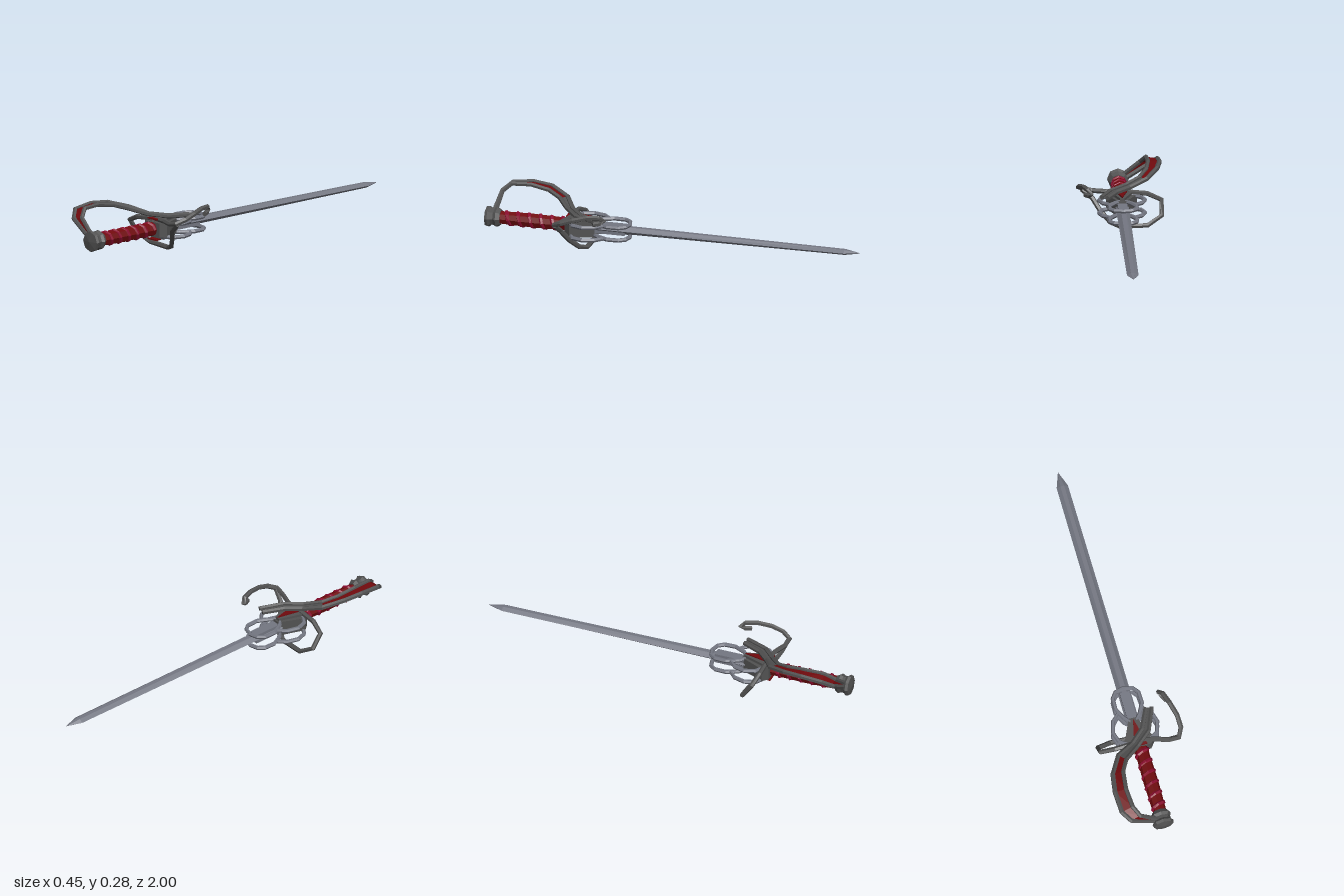
import * as THREE from 'three';

const mat = (name, color) => {
  const m = new THREE.MeshStandardMaterial({ color, flatShading: true, side: THREE.DoubleSide });
  m.name = name;
  return m;
};
const V = (p) => new THREE.Vector3(...p);
const AX = -0.008, AY = 0.125; // sword axis

// Skin a list of equal-length rings, with capped ends unless closed
function loft(rings, closed = false) {
  const pos = [], n = rings[0].length;
  const tri = (...ps) => ps.forEach((p) => pos.push(p.x, p.y, p.z));
  const last = closed ? rings.length : rings.length - 1;
  for (let i = 0; i < last; i++) {
    const r = rings[i], s = rings[(i + 1) % rings.length];
    for (let j = 0; j < n; j++) {
      const k = (j + 1) % n;
      tri(r[j], r[k], s[j]);
      tri(r[k], s[k], s[j]);
    }
  }
  if (!closed) {
    const a = rings[0], b = rings[rings.length - 1];
    for (let j = 1; j < n - 1; j++) {
      tri(a[0], a[j + 1], a[j]);
      tri(b[0], b[j], b[j + 1]);
    }
  }
  const g = new THREE.BufferGeometry();
  g.setAttribute('position', new THREE.Float32BufferAttribute(pos, 3));
  g.computeVertexNormals();
  return g;
}

// Faceted bar following a list of points
function bar(points, radius, { closed = false, sides = 6, up = [0, 1, 0] } = {}) {
  const ps = points.map(V), N = ps.length;
  let normal = V(up);
  const rings = ps.map((p, i) => {
    const prev = ps[closed ? (i + N - 1) % N : Math.max(i - 1, 0)];
    const next = ps[closed ? (i + 1) % N : Math.min(i + 1, N - 1)];
    const t = next.clone().sub(prev).normalize();
    normal = normal.clone().addScaledVector(t, -normal.dot(t)).normalize();
    const b = t.clone().cross(normal);
    return Array.from({ length: sides }, (_, j) => {
      const a = ((j + 0.5) / sides) * Math.PI * 2;
      return p.clone().addScaledVector(normal, Math.cos(a) * radius).addScaledVector(b, Math.sin(a) * radius);
    });
  });
  return loft(rings, closed);
}

// Thin sheet stretched between two edges
function sheet(a, b) {
  const pos = [];
  for (let i = 0; i < a.length - 1; i++) pos.push(...a[i], ...b[i], ...a[i + 1], ...b[i], ...b[i + 1], ...a[i + 1]);
  const g = new THREE.BufferGeometry();
  g.setAttribute('position', new THREE.Float32BufferAttribute(pos, 3));
  g.computeVertexNormals();
  return g;
}

// Flat plate from an outline in x and z, between two heights
function plate(outline, y0, y1) {
  const shape = new THREE.Shape(outline.map(([x, z]) => new THREE.Vector2(x + AX, -z)));
  return new THREE.ExtrudeGeometry(shape, { depth: y1 - y0, bevelEnabled: false }).rotateX(-Math.PI / 2).translate(0, y0, 0);
}

// Turned part along z, from [radius, z] pairs
function turned(profile, sides) {
  const g = new THREE.LatheGeometry(profile.map(([r, z]) => new THREE.Vector2(r, z)), sides);
  return g.rotateX(Math.PI / 2).translate(AX, AY, 0);
}

export function createModel() {
  const group = new THREE.Group();
  const blade = mat('blade steel', 0x747782);
  const dark = mat('dark iron', 0x525252);
  const red = mat('dark red leather', 0x700a0d);
  const crimson = mat('crimson wrap', 0x8a0c2e);
  const add = (name, geometry, material) => {
    const m = new THREE.Mesh(geometry, material);
    m.name = name;
    group.add(m);
  };

  // Blade: [z, half width, half thickness, ridge half width]
  const sections = [[0.42, 0.034, 0.02, 0.012], [-0.92, 0.03, 0.013, 0.01], [-1, 0.001, 0.001, 0.0005]];
  add('blade', loft(sections.map(([z, w, h, f]) =>
    [[w, 0], [f, -h], [-f, -h], [-w, 0], [-f, h], [f, h]].map(([x, y]) => V([AX + x, AY + y, z])))), blade);
  add('ricasso', new THREE.BoxGeometry(0.05, 0.05, 0.17).translate(AX, AY, 0.335), blade);

  // Guard block with red pointed inlays above and below
  const outline = [[-0.08, 0.53], [-0.055, 0.56], [0.055, 0.56], [0.08, 0.53], [0.02, 0.4], [-0.02, 0.4]];
  add('guardBlock', plate(outline, 0.088, 0.162), dark);
  const langet = [[-0.055, 0.53], [0.055, 0.53], [0.012, 0.41], [-0.012, 0.41]];
  add('langets', plate(langet, 0.072, 0.175), dark);
  const inlay = [[-0.035, 0.56], [0.035, 0.56], [0, 0.41]];
  add('topInlay', plate(inlay, 0.174, 0.181), red);
  add('bottomInlay', plate(inlay, 0.066, 0.073), red);

  // Grip with spiral wrap
  add('grip', turned([[0, 0.53], [0.038, 0.53], [0.035, 0.6], [0.038, 0.75], [0.034, 0.93], [0, 0.93]], 8), red);
  const helix = [];
  for (let i = 0; i <= 44; i++) {
    const a = (i / 8) * Math.PI * 2;
    helix.push([AX + Math.cos(a) * 0.031, AY + Math.sin(a) * 0.031, 0.57 + (i / 44) * 0.33]);
  }
  add('gripWrap', bar(helix, 0.012), crimson);

  // Pommel
  add('pommel', turned([[0, 0.915], [0.04, 0.915], [0.053, 0.935], [0.045, 0.95], [0.045, 0.965],
    [0.056, 0.978], [0.052, 0.992], [0, 1]], 8), dark);

  // Flat trefoil of finger rings above and below the blade
  const centreLoop = [[0, 0.43], [0.04, 0.39], [0.07, 0.33], [0.068, 0.27], [0.04, 0.235],
    [0.012, 0.26], [-0.012, 0.26], [-0.04, 0.235], [-0.068, 0.27], [-0.07, 0.33], [-0.04, 0.39]];
  const teardrop = centreLoop.filter((_, i) => i < 4 || i > 7);
  teardrop.splice(4, 0, [0.045, 0.24], [0, 0.228], [-0.045, 0.24]);
  const sideLoop = [[0.03, 0.4], [0.065, 0.355], [0.1, 0.39], [0.118, 0.45], [0.1, 0.505], [0.06, 0.53], [0.02, 0.525]];
  for (const [side, y] of [['upper', 0.155], ['lower', 0.088]]) {
    add(side + 'BladeRing', bar(teardrop.map(([x, z]) => [x + AX, y, z]), 0.011, { closed: true }), blade);
    for (const s of [1, -1])
      add(side + 'FingerRing', bar(sideLoop.map(([x, z]) => [AX + s * x, y, z]), 0.011), blade);
  }

  // Hooked quillon reaching out on one side
  add('hookedQuillon', bar([[-0.02, 0.175, 0.53], [0.07, 0.176, 0.545], [0.14, 0.175, 0.57], [0.19, 0.185, 0.575],
    [0.213, 0.205, 0.53], [0.21, 0.225, 0.47], [0.19, 0.24, 0.4], [0.17, 0.238, 0.34],
    [0.153, 0.22, 0.32], [0.165, 0.208, 0.34], [0.182, 0.205, 0.37]], 0.013), dark);

  // Large side ring sweeping underneath the hilt
  add('sideRing', bar([[-0.03, 0.175, 0.54], [-0.14, 0.165, 0.54], [-0.213, 0.135, 0.525], [-0.213, 0.065, 0.475],
    [-0.14, 0.02, 0.45], [0, 0.0135, 0.455], [0.05, 0.03, 0.48], [0.1, 0.08, 0.52],
    [0.14, 0.14, 0.555], [0.195, 0.183, 0.57]], 0.013, { up: [0, 0, 1] }), dark);

  // Knuckle guard: two rims with a sheet between them
  const outer = [[-0.04, 0.13, 0.96], [-0.17, 0.215, 0.955], [-0.207, 0.25, 0.91], [-0.213, 0.262, 0.8], [-0.197, 0.255, 0.7],
    [-0.14, 0.225, 0.6], [-0.05, 0.195, 0.545], [0.02, 0.187, 0.48], [0.07, 0.185, 0.375]];
  const inner = [[-0.03, 0.15, 0.96], [-0.12, 0.225, 0.945], [-0.148, 0.262, 0.9], [-0.155, 0.265, 0.8], [-0.142, 0.25, 0.7],
    [-0.105, 0.227, 0.63], [-0.03, 0.202, 0.57], [0.05, 0.192, 0.5], [0.1, 0.19, 0.38]];
  add('outerKnuckleRim', bar(outer, 0.013), dark);
  add('innerKnuckleRim', bar(inner, 0.012), dark);
  add('knucklePanel', sheet(outer.slice(0, 6), inner.slice(0, 6)), red);
  add('knuckleTail', sheet(outer.slice(5), inner.slice(5)), dark);
  return group;
}
